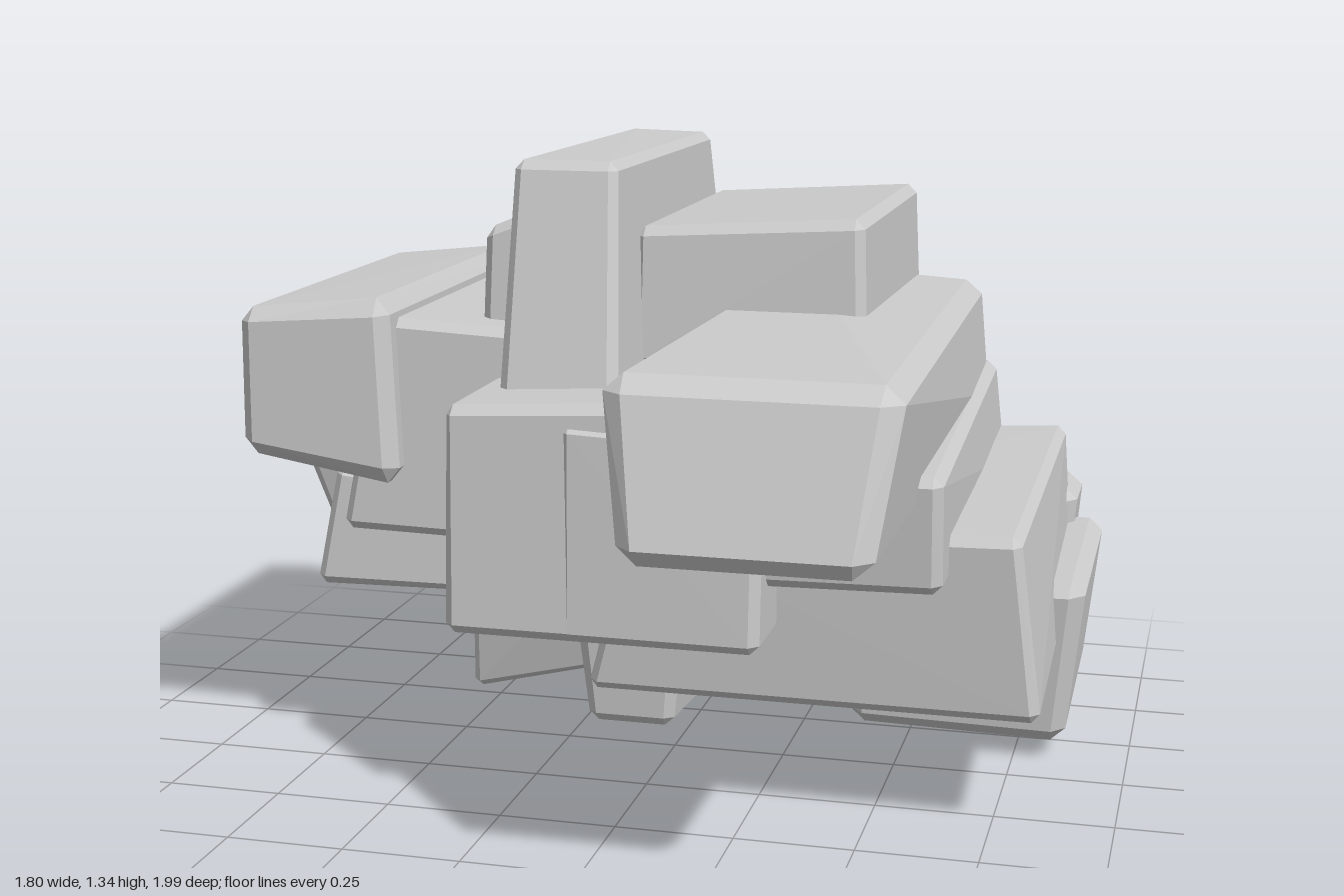
import * as THREE from 'three';
import { ConvexGeometry } from 'three/addons/geometries/ConvexGeometry.js';

const material = new THREE.MeshStandardMaterial({ color: 0xcccccc, flatShading: true });

// Bevelled six-sided block running along z.
// q: front outline as x,y of top-left, top-right, bottom-right, bottom-left.
// z: [front top, front bottom, back top, back bottom]; b: back outline (defaults to q).
function block(group, name, q, z, b = q, c = 0.02) {
  const corner = (i, j, k) => {
    const n = j ? (i ? 1 : 0) : (i ? 2 : 3);
    const o = k ? q : b;
    return new THREE.Vector3(o[2 * n], o[2 * n + 1], z[(k ? 0 : 2) + (j ? 0 : 1)]);
  };
  const at = (u, v, w) => {
    const p = new THREE.Vector3();
    for (const i of [0, 1]) for (const j of [0, 1]) for (const k of [0, 1]) {
      p.addScaledVector(corner(i, j, k), (i ? u : 1 - u) * (j ? v : 1 - v) * (k ? w : 1 - w));
    }
    return p;
  };
  // Bevel as a fraction of each length
  const size = [
    corner(0, 0, 1).distanceTo(corner(1, 0, 1)),
    corner(0, 0, 1).distanceTo(corner(0, 1, 1)),
    corner(0, 0, 0).distanceTo(corner(0, 0, 1)),
  ];
  const points = [];
  for (const i of [0, 1]) for (const j of [0, 1]) for (const k of [0, 1]) {
    for (let axis = 0; axis < 3; axis++) {
      const t = [i, j, k].map((s, a) => {
        const d = a === axis ? 0 : Math.min(0.25, c / size[a]);
        return s ? 1 - d : d;
      });
      points.push(at(...t));
    }
  }
  const mesh = new THREE.Mesh(new ConvexGeometry(points), material);
  mesh.name = name;
  group.add(mesh);
}

export function createModel() {
  const g = new THREE.Group();
  g.name = 'rockCluster';
  const B = (...a) => block(g, ...a);

  // Inner mass joining everything
  B('core', [-0.6, 0.95, 0.45, 1.0, 0.55, 0.3, -0.5, 0.36], [0.1, 0.1, -0.64, -0.64]);

  // Upper blocks
  B('topColumn', [-0.28, 1.345, -0.06, 1.345, -0.03, 0.86, -0.285, 0.86], [0.25, 0.37, -0.58, -0.66],
    [-0.26, 1.345, -0.06, 1.34, -0.03, 0.9, -0.3, 0.9]);
  B('upperLeftShelf', [-0.395, 1.18, -0.2, 1.26, -0.2, 0.9, -0.4, 0.9], [0.11, 0.14, -0.63, -0.65]);
  B('upperRightShelf', [-0.06, 1.195, 0.43, 1.225, 0.445, 0.9, -0.06, 0.9], [0.11, 0.14, -0.64, -0.65]);
  B('farLeftBlock', [-0.9, 1.015, -0.56, 1.05, -0.54, 0.64, -0.9, 0.70], [0.29, 0.30, -0.64, -0.64],
    [-0.9, 1.015, -0.57, 1.05, -0.55, 0.66, -0.88, 0.68], 0.03);
  B('leftMiddleBlock', [-0.6, 1.0, -0.2, 0.98, -0.2, 0.52, -0.69, 0.53], [0.23, 0.25, -0.64, -0.64]);

  // Long protruding block
  B('longBlock', [0.08, 1.03, 0.645, 1.03, 0.6, 0.70, 0.14, 0.70], [0.89, 1.0, -0.64, -0.64],
    [0.13, 1.03, 0.59, 1.0, 0.62, 0.70, 0.14, 0.70], 0.035);

  // Middle and lower steps
  B('centreBlock', [-0.34, 0.88, 0.11, 0.905, 0.31, 0.41, -0.345, 0.41], [0.54, 0.56, -0.64, -0.64]);
  B('centreFace', [-0.1, 0.86, 0.315, 0.84, 0.31, 0.41, -0.1, 0.41], [0.55, 0.56, -0.4, -0.4]);
  B('rightUpperStep', [0.1, 0.78, 0.66, 0.78, 0.66, 0.54, 0.1, 0.53], [0.51, 0.49, -0.64, -0.64],
    [0.1, 0.81, 0.63, 0.81, 0.66, 0.55, 0.1, 0.53]);
  B('rightMiddleStep', [0.0, 0.62, 0.8, 0.64, 0.85, 0.25, -0.1, 0.25], [0.39, 0.37, -0.64, -0.64],
    [0.0, 0.62, 0.8, 0.66, 0.83, 0.28, -0.05, 0.28]);
  B('lowerRightBlock', [0.36, 0.41, 0.9, 0.42, 0.86, 0.04, 0.38, 0.05], [-0.08, -0.11, -0.65, -0.65],
    [0.36, 0.43, 0.9, 0.44, 0.86, 0.08, 0.38, 0.08], 0.03);
  B('lowerLeftBlock', [-0.72, 0.66, -0.2, 0.6, -0.2, 0.40, -0.77, 0.39], [0.2, 0.22, -0.64, -0.64]);
  B('lowerLeftSlab', [-0.85, 0.66, -0.3, 0.55, -0.35, 0.33, -0.76, 0.385], [0.08, 0.04, -0.62, -0.6]);

  // Underside
  B('undersideMiddle', [-0.2, 0.45, 0.07, 0.45, 0.03, 0.10, -0.16, 0.10], [0.17, 0.15, -0.55, -0.45],
    [-0.2, 0.45, 0.07, 0.45, 0.03, 0.05, -0.16, 0.05]);
  B('undersideLeft', [-0.45, 0.45, -0.15, 0.45, -0.15, 0.19, -0.47, 0.11], [0.1, 0.04, -0.6, -0.5],
    [-0.45, 0.45, -0.15, 0.45, -0.15, 0.22, -0.42, 0.2]);
  B('undersideRight', [0.0, 0.4, 0.6, 0.4, 0.59, 0.16, 0.0, 0.19], [0.04, 0.0, -0.62, -0.6]);

  // Row of uneven slabs across the back
  B('backSlabLeft', [-0.66, 1.0, -0.26, 1.05, -0.26, 0.52, -0.68, 0.52], [-0.5, -0.5, -0.71, -0.72]);
  B('backSlabCentreLeft', [-0.3, 1.12, -0.06, 1.13, -0.06, 0.46, -0.3, 0.46], [-0.5, -0.5, -0.72, -0.73]);
  B('backSlabCentre', [-0.08, 1.12, 0.09, 1.12, 0.09, 0.42, -0.08, 0.42], [-0.5, -0.5, -0.74, -0.74]);
  B('backSlabCentreRight', [0.07, 1.13, 0.39, 1.11, 0.4, 0.5, 0.07, 0.48], [-0.5, -0.5, -0.72, -0.73]);
  B('backSlabRight', [0.36, 1.02, 0.5, 0.98, 0.52, 0.55, 0.36, 0.55], [-0.5, -0.5, -0.7, -0.71]);

  // Back blocks
  B('backTallBlock', [-0.21, 1.12, -0.01, 1.12, -0.01, 0.58, -0.21, 0.58], [-0.6, -0.6, -1.0, -1.0],
    [-0.21, 1.08, -0.01, 1.08, -0.01, 0.6, -0.21, 0.6]);
  B('backRightBlock', [-0.03, 1.07, 0.35, 1.07, 0.34, 0.62, -0.03, 0.58], [-0.6, -0.6, -0.83, -0.80],
    [-0.03, 1.03, 0.34, 1.03, 0.33, 0.62, -0.03, 0.58]);
  B('backLeftBlock', [-0.44, 0.86, -0.18, 0.86, -0.18, 0.5, -0.42, 0.5], [-0.6, -0.6, -0.9, -0.88]);
  B('backLowLeftWedge', [-0.79, 0.68, -0.5, 0.66, -0.52, 0.42, -0.78, 0.42], [-0.55, -0.55, -0.87, -0.78],
    [-0.79, 0.6, -0.52, 0.6, -0.56, 0.45, -0.77, 0.5]);
  B('backLowLeftSpur', [-0.79, 0.62, -0.6, 0.62, -0.62, 0.46, -0.78, 0.46], [-0.7, -0.7, -0.93, -0.88],
    [-0.79, 0.59, -0.74, 0.59, -0.74, 0.54, -0.78, 0.54], 0.01);
  B('backLowRightBlock', [0.35, 0.52, 0.84, 0.52, 0.8, 0.0, 0.37, 0.0], [-0.54, -0.55, -0.78, -0.72],
    [0.34, 0.5, 0.84, 0.52, 0.8, 0.02, 0.37, 0.02], 0.03);
  return g;
}
